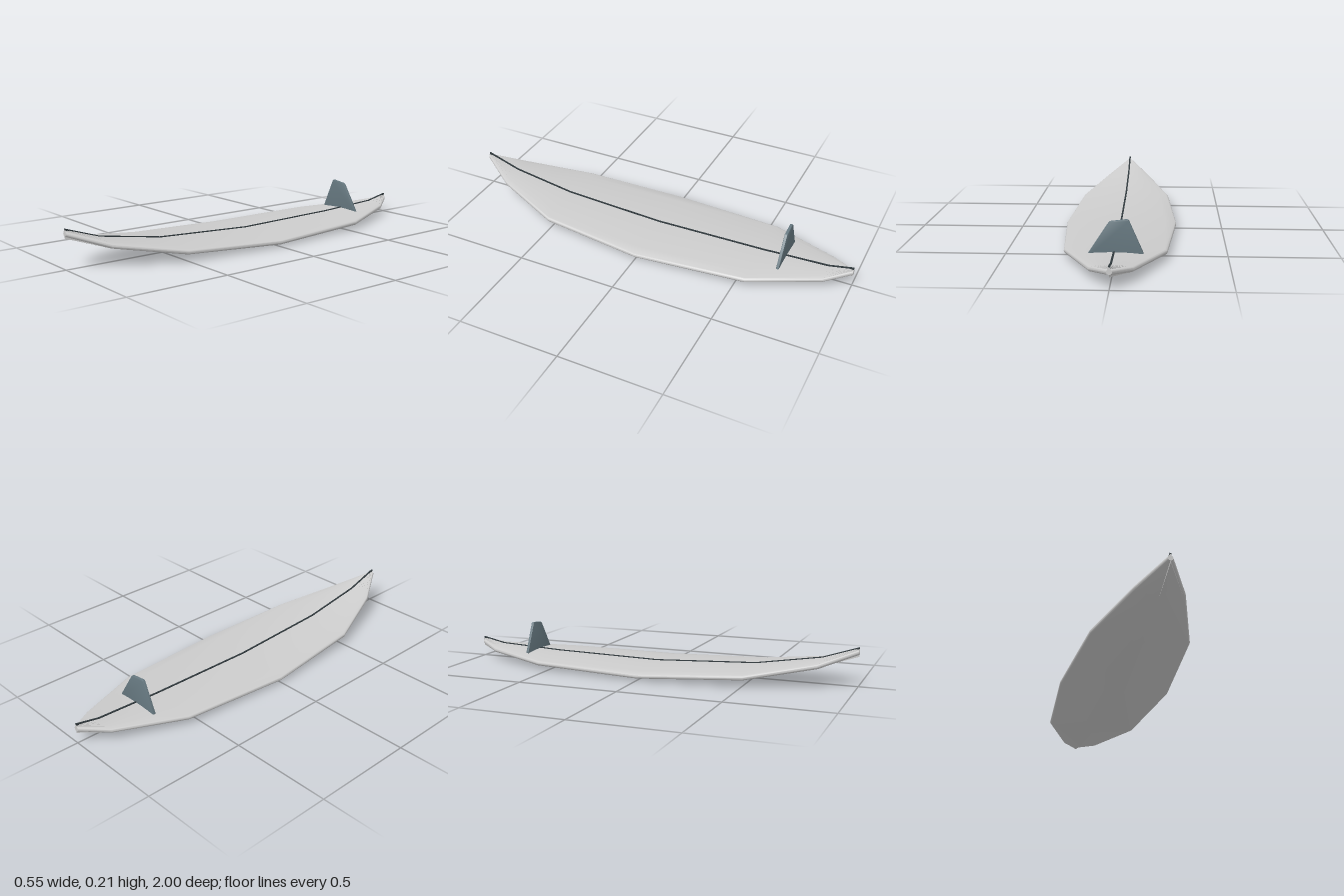
import * as THREE from 'three';
import { toCreasedNormals } from 'three/addons/utils/BufferGeometryUtils.js';

// Stations from nose to tail: [z, half width, bottom y, deck y]
const stations = [
  [1, 0.012, 0.143, 0.184],
  [0.83, 0.115, 0.083, 0.127],
  [0.51, 0.232, 0.028, 0.075],
  [0, 0.273, 0.002, 0.05],
  [-0.55, 0.23, 0.013, 0.06],
  [-0.88, 0.095, 0.033, 0.075],
  [-1, 0.012, 0.056, 0.1],
];

// Closed solid through rings of points, each clockwise seen from the front
function loft(rings, crease) {
  const pos = [];
  const tri = (...points) => points.forEach((p) => pos.push(p.x, p.y, p.z));
  const n = rings[0].length;
  for (let i = 0; i < rings.length - 1; i++) {
    for (let j = 0; j < n; j++) {
      const k = (j + 1) % n;
      tri(rings[i][j], rings[i][k], rings[i + 1][j]);
      tri(rings[i][k], rings[i + 1][k], rings[i + 1][j]);
    }
  }
  const first = rings[0], last = rings[rings.length - 1];
  for (let j = 1; j < n - 1; j++) {
    tri(first[0], first[j + 1], first[j]);
    tri(last[0], last[j], last[j + 1]);
  }
  const geometry = new THREE.BufferGeometry();
  geometry.setAttribute('position', new THREE.Float32BufferAttribute(pos, 3));
  return toCreasedNormals(geometry, crease);
}

// Cross-section: domed deck, rounded rail, shallow V bottom
function boardRing([z, w, bottom, top]) {
  const r = 0.0115, mid = bottom + 0.021, half = [];
  for (let i = 0; i < 6; i++) {
    const t = i / 6;
    half.push([t * (w - r), mid + r + (top - mid - r) * (1 - t * t)]);
  }
  for (let i = 0; i <= 8; i++) {
    const a = Math.PI / 2 - (i / 8) * Math.PI;
    half.push([w - r + r * Math.cos(a), mid + r * Math.sin(a)]);
  }
  half.push([0, bottom]);
  const mirrored = half.slice(1, -1).reverse().map(([x, y]) => [-x, y]);
  return [...half, ...mirrored].map(([x, y]) => new THREE.Vector3(x, y, z));
}

// Thin strip following the deck's centre line
function stringerRing([z, , , top]) {
  const h = 0.004;
  return [[-h, h], [h, h], [h, -h], [-h, -h]]
    .map(([x, y]) => new THREE.Vector3(x, top + y, z));
}

// Outline with each corner rounded
function roundedShape(corners, radius) {
  const shape = new THREE.Shape();
  corners.forEach((c, i) => {
    const before = corners[(i + corners.length - 1) % corners.length];
    const after = corners[(i + 1) % corners.length];
    const a = before.clone().sub(c).setLength(radius).add(c);
    const b = after.clone().sub(c).setLength(radius).add(c);
    if (i === 0) shape.moveTo(a.x, a.y);
    else shape.lineTo(a.x, a.y);
    shape.quadraticCurveTo(c.x, c.y, b.x, b.y);
  });
  shape.closePath();
  return shape;
}

function part(name, geometry, color) {
  const mesh = new THREE.Mesh(geometry, new THREE.MeshStandardMaterial({ color }));
  mesh.name = name;
  return mesh;
}

export function createModel() {
  const group = new THREE.Group();
  group.name = 'surfboard';

  group.add(part('board', loft(stations.map(boardRing), 0.6), 0xd0d4d1));
  group.add(part('stringer', loft(stations.map(stringerRing), 0.5), 0x30393d));

  // Swept fin standing across the tail
  const corners = [[-0.126, 0.058], [0.114, 0.05], [0.018, 0.198], [-0.06, 0.208]]
    .map(([x, y]) => new THREE.Vector2(x, y));
  const finGeometry = new THREE.ExtrudeGeometry(roundedShape(corners, 0.008), {
    depth: 0.008, bevelThickness: 0.003, bevelSize: 0.003, bevelSegments: 2, curveSegments: 5,
  });
  const fin = part('fin', toCreasedNormals(finGeometry, 0.6), 0x667880);
  fin.position.z = -0.671;
  group.add(fin);

  return group;
}
